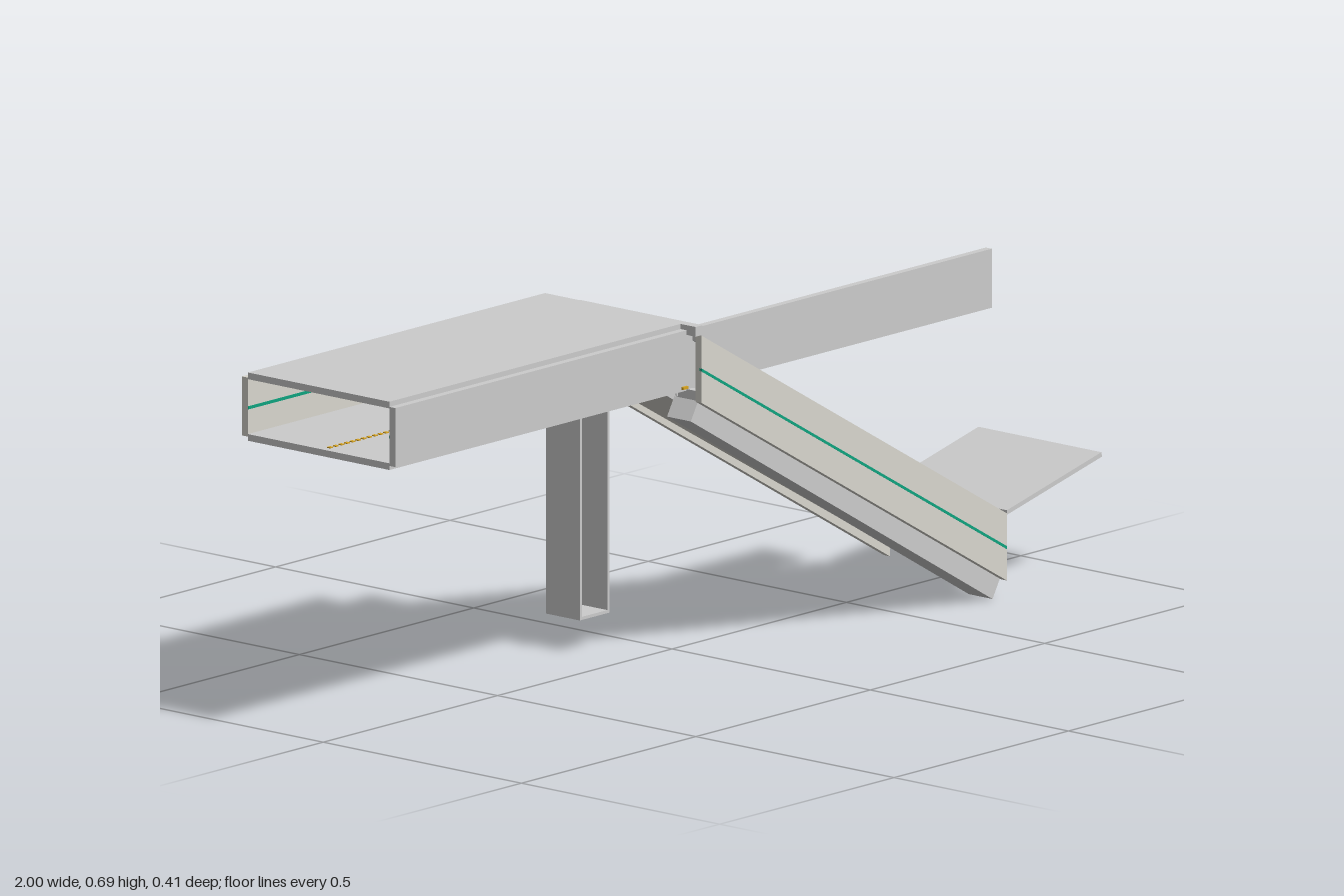
import * as THREE from 'three';

const GREY = 0xcccccc, PALE = 0xd8d6ce, TEAL = 0x10a37f, YELLOW = 0xd9a520;
const materials = {};
function mat(color) {
  return materials[color] ??= new THREE.MeshStandardMaterial({ color, side: THREE.DoubleSide });
}

export function createModel() {
  const model = new THREE.Group();
  model.name = 'stationEntrance';

  function add(name, geometry, color = GREY) {
    const mesh = new THREE.Mesh(geometry, mat(color));
    mesh.name = name;
    model.add(mesh);
    return mesh;
  }
  // Box given by its limits on each axis
  function box(name, [x0, x1], [y0, y1], [z0, z1], color) {
    const g = new THREE.BoxGeometry(x1 - x0, y1 - y0, z1 - z0);
    g.translate((x0 + x1) / 2, (y0 + y1) / 2, (z0 + z1) / 2);
    return add(name, g, color);
  }
  // Side outline in x,y pushed through from z0 to z1
  function slab(name, points, [z0, z1], color) {
    const shape = new THREE.Shape(points.map(([x, y]) => new THREE.Vector2(x, y)));
    const g = new THREE.ExtrudeGeometry(shape, { depth: z1 - z0, bevelEnabled: false });
    g.translate(0, 0, z0);
    return add(name, g, color);
  }
  // Sloping band parallel to the tunnel roof, between two drops below it
  const X0 = -0.148, X1 = 0.727, SLOPE = -0.577;
  const roofY = x => 0.67 + SLOPE * (x - X0);
  function band(name, x0, x1, top, bottom, z, color) {
    return slab(name, [[x0, roofY(x0) - top], [x1, roofY(x1) - top],
      [x1, roofY(x1) - bottom], [x0, roofY(x0) - bottom]], z, color);
  }

  // Upper corridor, open at its far end
  box('corridorFloor', [-1, -0.148], [0.557, 0.57], [-0.19, 0.167]);
  box('corridorRoof', [-1, -0.148], [0.677, 0.69], [-0.19, 0.167]);
  box('corridorBackWall', [-1, -0.148], [0.565, 0.68], [-0.205, -0.19], PALE);
  box('corridorFrontWall', [-1, 0.71], [0.565, 0.68], [0.167, 0.182]);
  box('corridorEndWall', [-0.152, -0.143], [0.565, 0.68], [-0.205, -0.105], PALE);
  box('entranceLintel', [-0.165, -0.145], [0.671, 0.69], [-0.105, 0.205]);
  box('corridorStripeBack', [-1, -0.15], [0.618, 0.624], [-0.19, -0.189], TEAL);
  box('corridorStripeFront', [-1, -0.15], [0.618, 0.624], [0.166, 0.167], TEAL);

  // Raised guide dots on the corridor floor
  const dots = new THREE.InstancedMesh(new THREE.BoxGeometry(0.008, 0.002, 0.008), mat(YELLOW), 50);
  dots.name = 'guideDots';
  for (let i = 0; i < 50; i++) {
    dots.setMatrixAt(i, new THREE.Matrix4().makeTranslation(-0.98 + i * 0.016, 0.571, 0));
  }
  model.add(dots);
  box('guideStrip', [-0.18, -0.165], [0.567, 0.572], [-0.09, 0.187], YELLOW);

  // Sloping tunnel: two side walls, roof and stripes
  for (const [side, z0, z1] of [['front', 0.19, 0.205], ['back', -0.105, -0.09]]) {
    band(side + 'TunnelWall', X0, X1, 0, 0.131, [z0, z1], PALE);
    band(side + 'TunnelStripe', X0, X1, 0.064, 0.07, [z0 - 0.0005, z1 + 0.0005], TEAL);
  }
  band('tunnelRoof', X0, X1, 0.001, 0.013, [-0.09, 0.19]);

  // Canopy rising outwards from the foot of the tunnel
  slab('canopy', [[X1, 0.162], [1, 0.226], [0.998, 0.235], [X1, 0.171]], [-0.105, 0.205]);

  // Staircase with a parallel underside
  const STEPS = 60, top = 0.565, foot = 0.065, run = (0.716 - X0) / STEPS, rise = (top - foot) / STEPS;
  const outline = [[X0, top - 0.014], [X0, top]];
  for (let i = 0; i < STEPS; i++) {
    const x = X0 + (i + 1) * run, y = top - i * rise;
    outline.push([x, y], [x, y - rise]);
  }
  outline.push([0.716, foot - 0.006]);
  slab('staircase', outline, [-0.09, 0.088], PALE);
  band('stairSidePanel', X0, 0.72, 0.09, 0.124, [0.088, 0.092]);

  // Central handrail on posts
  band('handrail', X0, 0.71, 0.066, 0.07, [-0.002, 0.002]);
  for (let i = 0; i <= 10; i++) {
    const x = -0.13 + i * 0.083;
    box('handrailPost', [x - 0.0015, x + 0.0015], [roofY(x) - 0.108, roofY(x) - 0.068], [-0.0015, 0.0015]);
  }

  // Escalator: truss, stepped band and balustrades
  slab('escalatorTruss', [[-0.162, 0.503], [0.703, 0], [0.724, 0.036], [-0.141, 0.539]], [0.13, 0.19]);
  band('escalatorBed', -0.14, 0.715, 0.108, 0.14, [0.138, 0.182]);
  const treads = new THREE.InstancedMesh(new THREE.BoxGeometry(0.016, 0.006, 0.036), mat(GREY), 58);
  treads.name = 'escalatorSteps';
  for (let i = 0; i < 58; i++) {
    const x = -0.13 + i * 0.0146;
    treads.setMatrixAt(i, new THREE.Matrix4().makeTranslation(x, roofY(x) - 0.106, 0.16));
  }
  model.add(treads);
  for (const z of [0.133, 0.187]) {
    band('escalatorBalustrade', -0.14, 0.715, 0.07, 0.125, [z - 0.0015, z + 0.0015]);
    band('escalatorHandrail', -0.14, 0.715, 0.065, 0.071, [z - 0.003, z + 0.003], 0x444444);
  }
  box('escalatorFootPlate', [0.69, 0.726], [0.055, 0.061], [0.135, 0.185], YELLOW);

  // Lift shaft, open at the front, with its narrower head
  const ly = [0.065, 0.565];
  box('shaftBack', [-0.145, -0.06], ly, [-0.19, -0.184]);
  box('shaftRightWall', [-0.145, -0.139], ly, [-0.184, -0.105]);
  box('shaftLeftWall', [-0.066, -0.06], ly, [-0.184, -0.105]);
  box('shaftFloor', [-0.139, -0.066], [0.065, 0.071], [-0.184, -0.105]);
  box('shaftHead', [-0.143, -0.062], [0.56, 0.631], [-0.184, -0.11]);

  return model;
}
